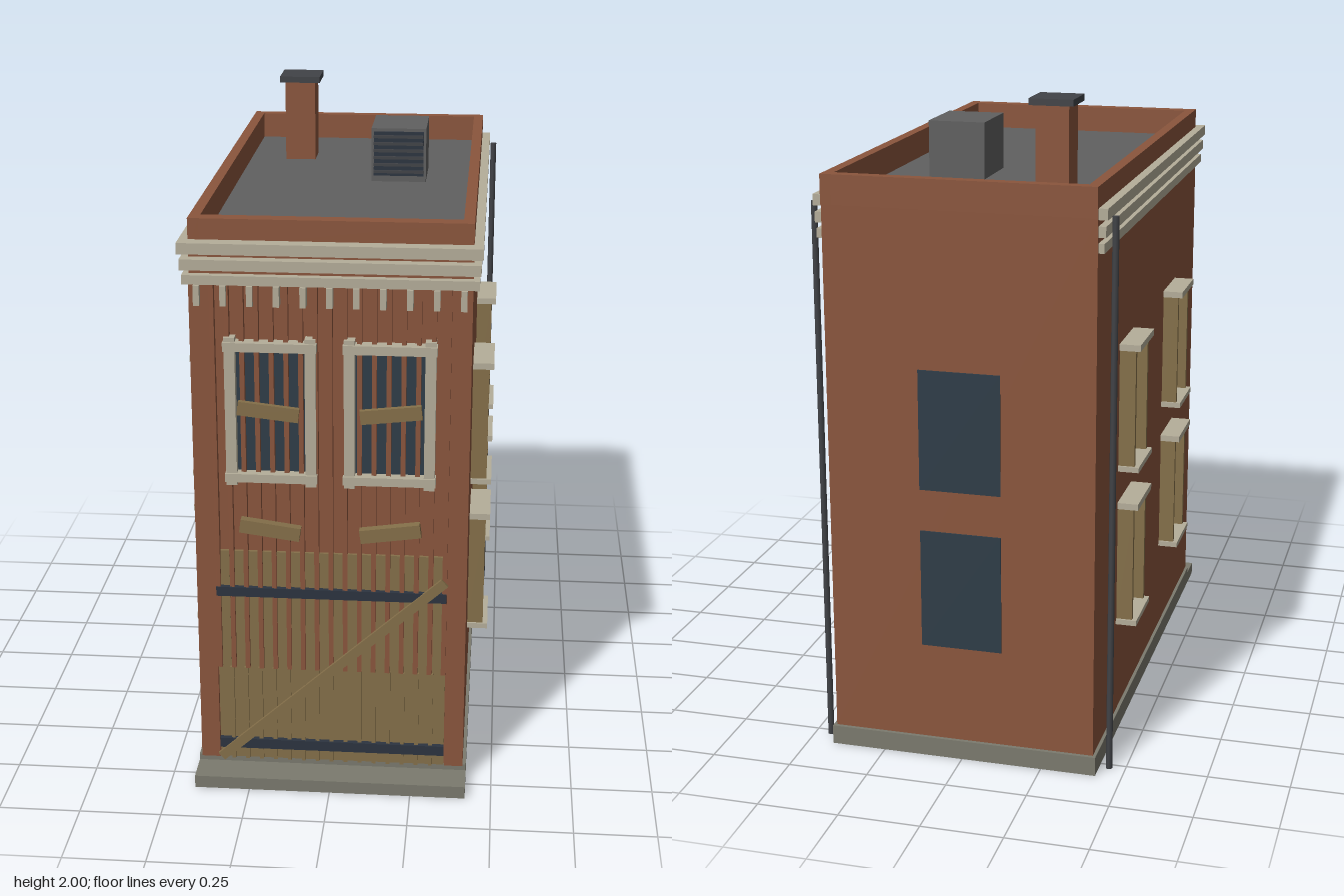
import * as THREE from 'three';

const mat = (name, color) => {
  const m = new THREE.MeshStandardMaterial({ color });
  m.name = name;
  return m;
};

export function createModel() {
  const brick = mat('brick', 0x8b563d);
  const trim = mat('trim', 0xb5ae9a);
  const stone = mat('stone', 0x7b7a6e);
  const wood = mat('wood', 0x85704a);
  const glass = mat('glass', 0x2f3d48);
  const iron = mat('iron', 0x2c3440);
  const pipe = mat('pipe', 0x414347);
  const roofing = mat('roofing', 0x606060);

  const model = new THREE.Group();
  model.name = 'building';

  // Box given by its lower and upper limits on each axis
  const box = (name, material, x0, x1, y0, y1, z0, z1) => {
    const mesh = new THREE.Mesh(new THREE.BoxGeometry(x1 - x0, y1 - y0, z1 - z0), material);
    mesh.position.set((x0 + x1) / 2, (y0 + y1) / 2, (z0 + z1) / 2);
    mesh.name = name;
    model.add(mesh);
    return mesh;
  };

  // Flat board between two points on the facade
  const board = (name, x0, y0, x1, y1, height, z0, z1) => {
    const half = Math.hypot(x1 - x0, y1 - y0) / 2;
    const mesh = box(name, wood, -half, half, -height / 2, height / 2, z0, z1);
    mesh.position.x = (x0 + x1) / 2;
    mesh.position.y = (y0 + y1) / 2;
    mesh.rotation.z = Math.atan2(y1 - y0, x1 - x0);
  };

  // Foundation, step and main walls
  box('foundation', stone, -0.42, 0.42, 0, 0.06, -0.832, 0.735);
  box('frontStep', stone, -0.42, 0.42, 0, 0.04, 0.735, 0.835);
  box('walls', brick, -0.41, 0.41, 0.06, 1.71, -0.82, 0.73);

  // Flat roof inside a parapet
  box('roof', roofing, -0.378, 0.378, 1.71, 1.715, -0.79, 0.685);
  for (const s of [-1, 1]) {
    const [a, b] = [s * 0.378, s * 0.41].sort((p, q) => p - q);
    box('sideParapet', brick, a, b, 1.71, 1.8, -0.825, 0.73);
  }
  box('frontParapet', brick, -0.378, 0.378, 1.71, 1.8, 0.685, 0.73);
  box('backParapet', brick, -0.378, 0.378, 1.71, 1.8, -0.825, -0.79);

  // Chimney and roof ventilator
  box('chimney', brick, -0.258, -0.157, 1.71, 1.98, -0.542, -0.432);
  box('chimneyCap', pipe, -0.275, -0.14, 1.98, 2.0, -0.558, -0.42);
  box('ventilator', roofing, 0.057, 0.235, 1.71, 1.89, -0.34, -0.125);
  box('ventGrille', iron, 0.065, 0.227, 1.735, 1.88, -0.125, -0.12);
  for (let i = 0; i < 6; i++) {
    const y = 1.745 + i * 0.023;
    box('ventSlat', pipe, 0.065, 0.227, y, y + 0.009, -0.12, -0.112);
  }

  // Stepped cornice on the front and both sides
  const bands = [[1.61, 1.638, 0.755, 0.428], [1.655, 1.687, 0.765, 0.432], [1.705, 1.738, 0.775, 0.437]];
  for (const [y0, y1, z, x] of bands) {
    box('frontCornice', trim, -x, x, y0, y1, 0.70, z);
    box('leftCornice', trim, 0.40, x, y0, y1, -0.815, 0.70);
    box('rightCornice', trim, -x, -0.40, y0, y1, -0.815, 0.70);
  }
  for (let i = 0; i < 11; i++) {
    const x = -0.385 + i * 0.077;
    box('dentil', trim, x - 0.009, x + 0.009, 1.55, 1.61, 0.73, 0.765);
  }

  // Corner piers and vertical facade ribs
  box('leftPier', brick, 0.352, 0.41, 0.06, 1.61, 0.73, 0.745);
  box('rightPier', brick, -0.41, -0.352, 0.06, 1.61, 0.73, 0.745);
  for (let i = 0; i < 17; i++) {
    const x = -0.344 + i * 0.043;
    box('facadeRib', brick, x - 0.007, x + 0.007, 0.38, 1.61, 0.73, 0.752);
  }

  // Plank door with iron straps and a diagonal brace
  for (let i = 0; i < 16; i++) {
    const x = -0.352 + i * 0.044;
    box('doorPlank', wood, x + 0.002, x + 0.042, 0.06, 0.77, 0.73, 0.74);
  }
  for (let i = 0; i < 15; i++) {
    const x = -0.308 + i * 0.044;
    box('doorBatten', wood, x - 0.006, x + 0.006, 0.06, 0.38, 0.74, 0.75);
  }
  box('upperStrap', iron, -0.35, 0.35, 0.625, 0.655, 0.74, 0.756);
  box('lowerStrap', iron, -0.35, 0.35, 0.1, 0.132, 0.74, 0.756);
  board('doorBrace', -0.345, 0.07, 0.345, 0.695, 0.03, 0.752, 0.763);

  // Front windows with frames and nailed boards
  for (const s of [-1, 1]) {
    const c = s * 0.175;
    box('frontGlass', glass, c - 0.11, c + 0.11, 1.03, 1.42, 0.73, 0.736);
    for (const j of [-1, 1]) {
      const x = c + j * 0.118;
      box('frontJamb', trim, x - 0.016, x + 0.016, 0.995, 1.455, 0.73, 0.764);
    }
    box('frontLintel', trim, c - 0.137, c + 0.137, 1.415, 1.442, 0.73, 0.772);
    box('frontSill', trim, c - 0.137, c + 0.137, 1.008, 1.034, 0.73, 0.772);
    const [xo, xi] = [s * 0.27, s * 0.09];
    board('windowBoard', xo, 1.245, xi, 1.225, 0.042, 0.765, 0.782);
    board('facadeBoard', xo, 0.87, xi, 0.845, 0.042, 0.752, 0.78);
  }

  // Side windows in projecting wooden surrounds, and downpipes
  for (const s of [-1, 1]) {
    const side = (name, material, x, y0, y1, z0, z1) => {
      const [a, b] = s > 0 ? [0.408, x] : [-x, -0.408];
      box(name, material, a, b, y0, y1, z0, z1);
    };
    for (const z of [0.282, -0.41]) {
      for (const y of [0.375, 0.88]) {
        side('sideGlass', glass, 0.414, y, y + 0.37, z - 0.085, z + 0.085);
        side('sideJamb', wood, 0.46, y, y + 0.37, z - 0.096, z - 0.08);
        side('sideJamb', wood, 0.46, y, y + 0.37, z + 0.08, z + 0.096);
        side('sideSill', trim, 0.475, y - 0.015, y + 0.002, z - 0.103, z + 0.103);
        side('sideLintel', trim, 0.475, y + 0.368, y + 0.388, z - 0.103, z + 0.103);
      }
    }
    const down = new THREE.Mesh(new THREE.CylinderGeometry(0.01, 0.01, 1.71, 8), pipe);
    down.position.set(s * 0.45, 0.855, -0.77);
    down.name = 'downpipe';
    model.add(down);
  }

  // Back windows
  for (const y of [0.365, 0.865]) {
    box('backGlass', glass, -0.125, 0.125, y, y + 0.37, -0.824, -0.818);
  }

  return model;
}
